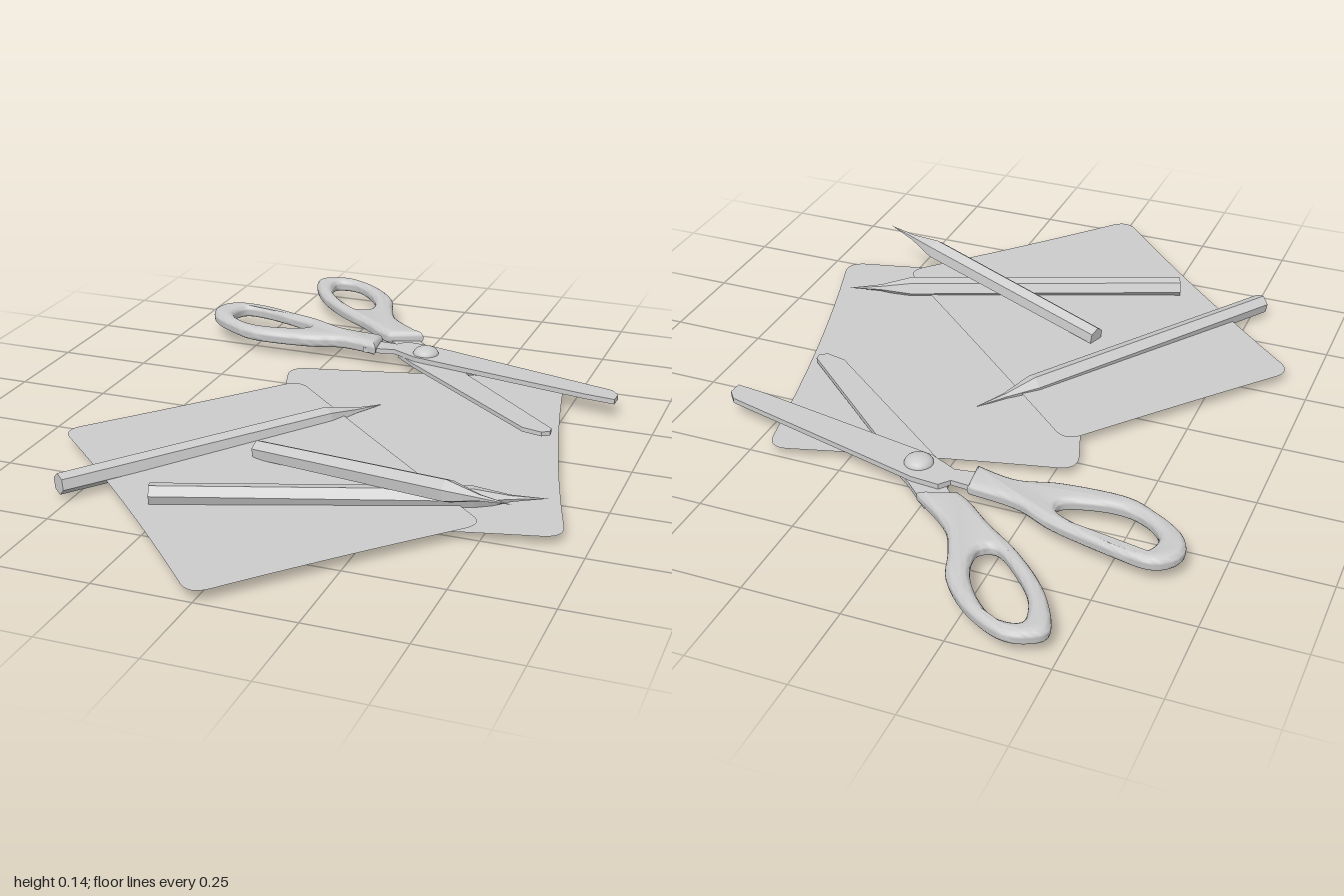
import * as THREE from 'three';
import { toCreasedNormals } from 'three/addons/utils/BufferGeometryUtils.js';

const smooth = new THREE.MeshStandardMaterial({ color: 0xcccccc });
const faceted = new THREE.MeshStandardMaterial({ color: 0xcccccc, flatShading: true });
const thin = new THREE.MeshStandardMaterial({ color: 0xcccccc, side: THREE.DoubleSide });

// Plan points are [x, z]; shapes are drawn in (x, -z) and laid flat.
const plan = (pts) => pts.map(([x, z]) => new THREE.Vector2(x, -z));

function named(name, geometry, material) {
  const mesh = new THREE.Mesh(geometry, material);
  mesh.name = name;
  return mesh;
}

// Thin sheet with rounded corners; bows pinch each side inward
function sheet(name, corners, bows, y, radius = 0.05) {
  const p = plan(corners);
  const n = p.length;
  const centre = p.reduce((a, b) => a.add(b), new THREE.Vector2()).divideScalar(n);
  const toward = (a, b) => a.clone().add(b.clone().sub(a).setLength(radius));
  const shape = new THREE.Shape();
  p.forEach((c, i) => {
    const prev = p[(i + n - 1) % n];
    const next = p[(i + 1) % n];
    const a = toward(c, prev), b = toward(c, next), end = toward(next, c);
    if (i === 0) shape.moveTo(a.x, a.y);
    shape.quadraticCurveTo(c.x, c.y, b.x, b.y);
    const mid = b.clone().add(end).multiplyScalar(0.5);
    mid.add(centre.clone().sub(mid).setLength(bows[i] * 2));
    shape.quadraticCurveTo(mid.x, mid.y, end.x, end.y);
  });
  const mesh = named(name, new THREE.ShapeGeometry(shape, 8).rotateX(-Math.PI / 2), thin);
  mesh.position.y = y;
  return mesh;
}

// Six-sided pencil from its flat end to its point
function pencil(name, start, tip, roll) {
  const a = new THREE.Vector3(...start);
  const dir = new THREE.Vector3(...tip).sub(a);
  const L = dir.length();
  const profile = [[0, 0], [0.027, 0], [0.03, L - 0.18], [0.009, L - 0.09], [0, L]]
    .map(([r, h]) => new THREE.Vector2(r, h));
  const mesh = named(name, new THREE.LatheGeometry(profile, 6).rotateY(roll), faceted);
  mesh.quaternion.setFromUnitVectors(new THREE.Vector3(0, 1, 0), dir.normalize());
  mesh.position.copy(a);
  return mesh;
}

// Rounded finger loop with an oval hole, open spline closed straight at the neck
function handle(name, outer, inner, y) {
  const o = plan(outer);
  const shape = new THREE.Shape();
  shape.moveTo(o[0].x, o[0].y);
  shape.splineThru(o.slice(1));
  const h = plan(inner).map((v) => new THREE.Vector3(v.x, v.y, 0));
  const curve = new THREE.CatmullRomCurve3(h, true);
  shape.holes.push(new THREE.Path(curve.getPoints(40).slice(0, -1).map((v) => new THREE.Vector2(v.x, v.y))));
  const geometry = new THREE.ExtrudeGeometry(shape, {
    depth: 0.006, curveSegments: 5, bevelThickness: 0.017, bevelSize: 0.018,
    bevelOffset: -0.018, bevelSegments: 4,
  }).rotateX(-Math.PI / 2);
  const mesh = named(name, toCreasedNormals(geometry, 0.9), smooth);
  mesh.position.y = y + 0.017;
  return mesh;
}

// Flat blade with its shank
function blade(name, outline, y, thickness) {
  const geometry = new THREE.ExtrudeGeometry(new THREE.Shape(plan(outline)), {
    depth: thickness, bevelEnabled: false,
  }).rotateX(-Math.PI / 2);
  const mesh = named(name, geometry, faceted);
  mesh.position.y = y;
  return mesh;
}

function scissors() {
  const group = new THREE.Group();
  group.name = 'scissors';
  group.add(
    handle('backHandle', [
      [-0.005, -0.598], [-0.116, -0.688], [-0.164, -0.778], [-0.196, -0.862], [-0.275, -0.947],
      [-0.37, -0.998], [-0.44, -0.99], [-0.476, -0.945], [-0.418, -0.83], [-0.317, -0.725],
      [-0.21, -0.645], [-0.143, -0.587], [-0.1, -0.561],
    ], [
      [-0.41, -0.952], [-0.355, -0.958], [-0.28, -0.894], [-0.233, -0.81],
      [-0.228, -0.746], [-0.26, -0.73], [-0.333, -0.788], [-0.397, -0.873],
    ], 0.037),
    handle('frontHandle', [
      [-0.11, -0.534], [-0.238, -0.55], [-0.344, -0.598], [-0.503, -0.64], [-0.598, -0.656],
      [-0.65, -0.63], [-0.667, -0.582], [-0.64, -0.524], [-0.566, -0.471], [-0.476, -0.434],
      [-0.317, -0.44], [-0.21, -0.466], [-0.1, -0.444],
    ], [
      [-0.598, -0.566], [-0.582, -0.619], [-0.529, -0.619], [-0.423, -0.587], [-0.344, -0.55],
      [-0.339, -0.519], [-0.423, -0.487], [-0.503, -0.487], [-0.566, -0.519],
    ], 0.041),
    blade('lowerBlade', [
      [-0.11, -0.59], [-0.03, -0.61], [0.037, -0.545], [0.12, -0.476], [0.196, -0.386],
      [0.513, -0.1], [0.515, -0.08], [0.495, -0.067], [0.44, -0.08], [0.026, -0.413],
      [-0.042, -0.476], [-0.053, -0.524],
    ], 0.036, 0.012),
    blade('upperBlade', [
      [-0.14, -0.52], [-0.058, -0.513], [-0.037, -0.54], [0.037, -0.534], [0.61, -0.381],
      [0.632, -0.354], [0.63, -0.317], [0.545, -0.328], [0.026, -0.429], [-0.048, -0.466],
      [-0.14, -0.45],
    ], 0.048, 0.014),
  );
  // Domed pivot screw
  const dome = new THREE.SphereGeometry(0.037, 20, 8, 0, Math.PI * 2, 0, Math.PI / 2).scale(1, 0.6, 1);
  const screw = named('pivotScrew', dome, smooth);
  screw.position.set(0.045, 0.061, -0.47);
  group.add(screw);
  return group;
}

export function createModel() {
  const model = new THREE.Group();
  model.name = 'stationerySet';
  model.add(
    sheet('lowerPaper', [[-0.31, -0.31], [0.445, -0.505], [0.69, 0.46], [-0.06, 0.66]],
      [0.005, 0.015, 0.005, 0.015], 0.028),
    sheet('upperPaper', [[-0.69, 0.325], [-0.24, -0.21], [0.5, 0.47], [0, 1.018]],
      [0.002, 0.002, 0.005, 0.01], 0.034),
    pencil('leftPencil', [-0.525, 0.045, 0.645], [0.03, 0.03, -0.14], 0.2),
    pencil('lowerPencil', [-0.285, 0.055, 0.635], [0.61, 0.041, 0.3], 0.2),
    pencil('raisedPencil', [-0.15, 0.046, 0.29], [0.585, 0.132, 0.545], 0.3),
    scissors(),
  );
  return model;
}
